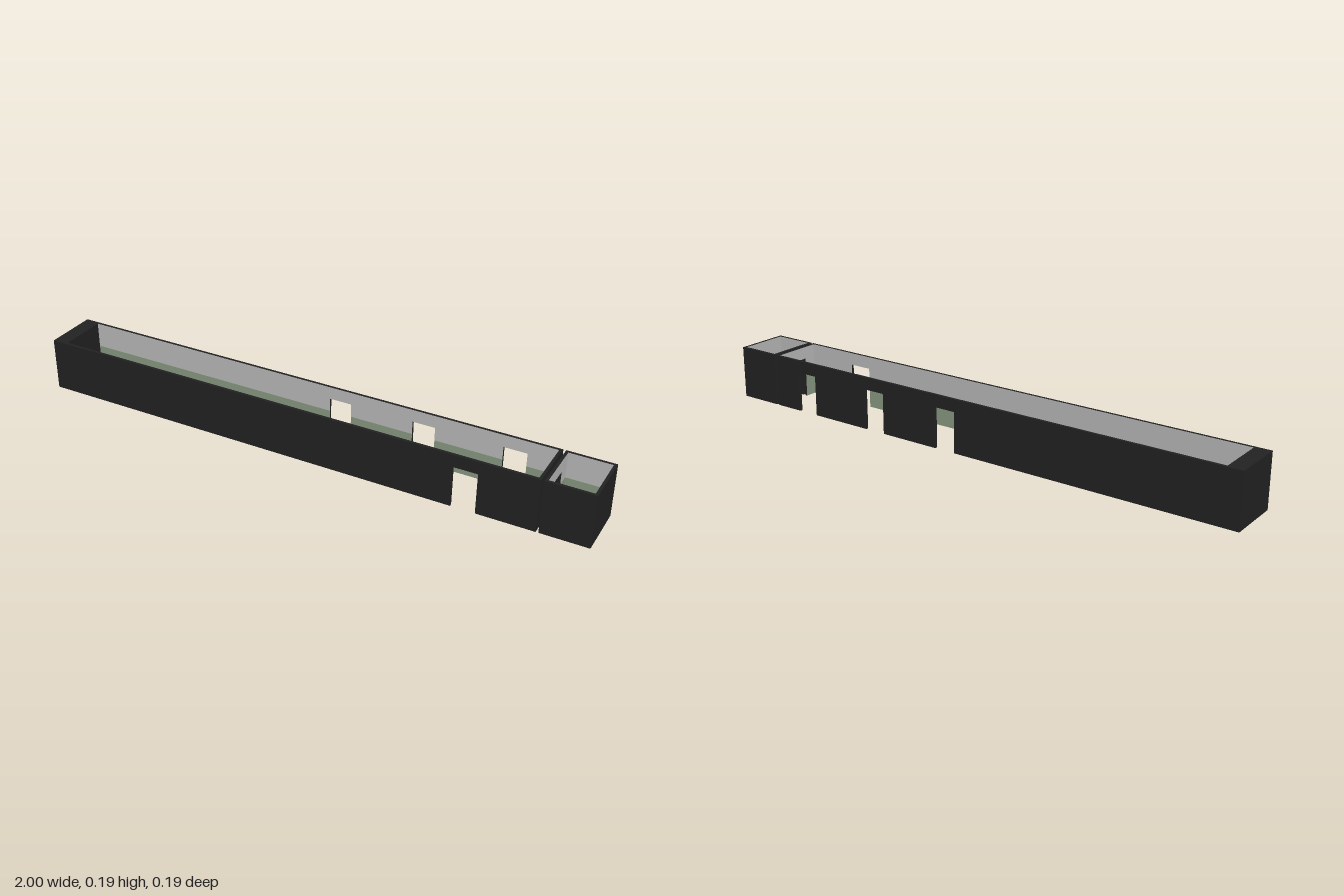
import * as THREE from 'three';

const H = 0.189, T = 0.01, D = 0.0965;   // wall height, thickness, half depth
const BAND = 0.098, DOOR = 0.145;        // top of painted band, door height

export function createModel() {
  const make = (name, color) => Object.assign(new THREE.MeshStandardMaterial({ color }), { name });
  const dark = make('darkShell', 0x222222);
  const grey = make('greyPlaster', 0xb8b8b8);
  const green = make('greenDado', 0x869880);
  // face order: +x, -x, +y, -y, outside, inside
  const lower = [dark, dark, dark, green, dark, green];
  const upper = [dark, dark, dark, dark, dark, grey];

  const model = new THREE.Group();
  model.name = 'corridor';

  function block(parent, name, x0, x1, y0, y1, z0, z1, material) {
    const mesh = new THREE.Mesh(new THREE.BoxGeometry(x1 - x0, y1 - y0, z1 - z0), material);
    mesh.position.set((x0 + x1) / 2, (y0 + y1) / 2, (z0 + z1) / 2);
    mesh.name = name;
    parent.add(mesh);
  }

  // Wall along local x with its outside on +z; doors are [start, end] in order
  function wall(name, x0, x1, doors, x, z, turn) {
    const group = new THREE.Group();
    group.name = name;
    let start = x0;
    for (const [a, b] of [...doors, [x1, x1]]) {
      block(group, 'lowerWall', start, a, 0, BAND, -T, 0, lower);
      block(group, 'upperWall', start, a, BAND, H, -T, 0, upper);
      if (b > a) block(group, 'lintel', a, b, DOOR, H, -T, 0, upper);
      start = b;
    }
    group.position.set(x, 0, z);
    group.rotation.y = turn;
    model.add(group);
  }

  // Long hall, closed by a solid block at the far end
  const inner = D - T, passage = [[-0.04, 0.04]];
  block(model, 'endBlock', -1, -0.945, 0, H, -D, D, dark);
  wall('hallFrontWall', -0.945, 0.828, [[0.546, 0.63]], 0, D, 0);
  wall('hallBackWall', -0.828, 0.945, [[-0.72, -0.64], [-0.405, -0.325], [-0.1, -0.02]], 0, -D, Math.PI);
  wall('hallEndWall', -inner, inner, passage, 0.828, 0, Math.PI / 2);

  // Small end room, separated by a narrow gap
  wall('roomFrontWall', 0.837, 1, [], 0, D, 0);
  wall('roomBackWall', -1, -0.837, [], 0, -D, Math.PI);
  wall('roomInnerWall', -inner, inner, passage, 0.837, 0, -Math.PI / 2);
  wall('roomOuterWall', -inner, inner, [], 1, 0, Math.PI / 2);

  return model;
}
